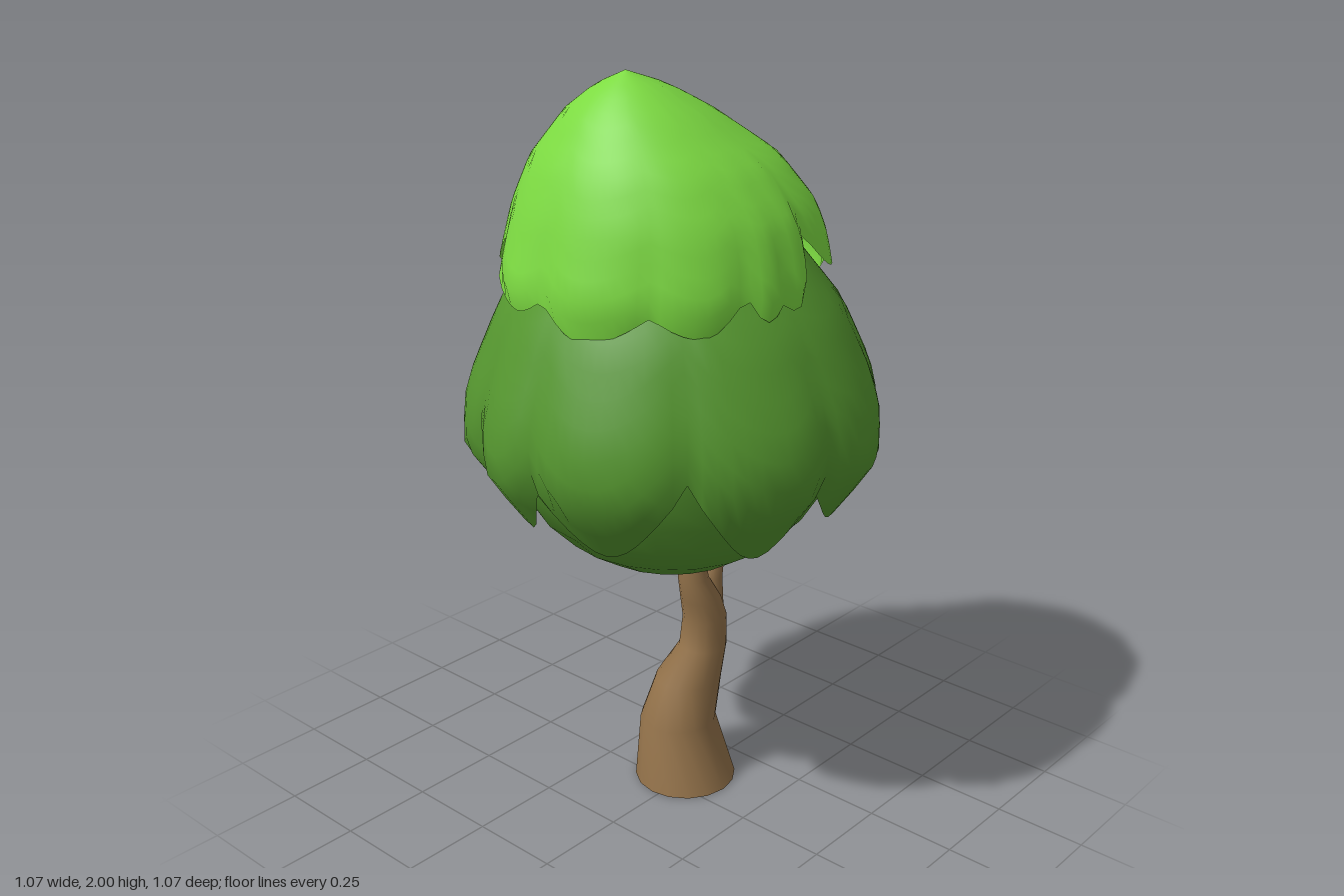
import * as THREE from 'three';

// Smooth closed skin: point(angle, v) gives a position, v runs from top (0) to bottom (1).
// Angle 0 faces +z and grows towards +x.
function skin(cols, rows, point) {
  const pos = [], index = [];
  for (let i = 0; i <= rows; i++)
    for (let j = 0; j < cols; j++) pos.push(...point((j / cols) * Math.PI * 2, i / rows));
  for (let i = 0; i < rows; i++)
    for (let j = 0; j < cols; j++) {
      const k = (j + 1) % cols;
      const a = i * cols + j, b = i * cols + k, c = a + cols, d = b + cols;
      index.push(a, c, d, a, d, b);
    }
  const geo = new THREE.BufferGeometry();
  geo.setAttribute('position', new THREE.Float32BufferAttribute(pos, 3));
  geo.setIndex(index);
  geo.computeVertexNormals();
  return geo;
}

// Rings are [x, y, z, radius], top to bottom; returns the ring at height y.
function ringAt(rings, y) {
  let i = 0;
  while (i < rings.length - 2 && y < rings[i + 1][1]) i++;
  const p = rings[i], q = rings[i + 1];
  const t = THREE.MathUtils.clamp((p[1] - y) / (p[1] - q[1]), 0, 1);
  return p.map((n, k) => n + (q[k] - n) * t);
}

// Tube through rings, for trunk and branch
function limb(rings, cols) {
  return skin(cols, rings.length - 1, (a, v) => {
    const [x, y, z, r] = rings[Math.round(v * (rings.length - 1))];
    return [x + r * Math.sin(a), y, z + r * Math.cos(a)];
  });
}

// Scalloped hem: alternating [degrees, height] notches and tips; rounded tips, sharp notches
function hemAt(hem, angle) {
  const first = hem[0][0];
  const deg = first + THREE.MathUtils.euclideanModulo(THREE.MathUtils.radToDeg(angle) - first, 360);
  const loop = [...hem, [first + 360, hem[0][1]]];
  let i = 0;
  while (i < loop.length - 2 && deg >= loop[i + 1][0]) i++;
  const [p, q] = [loop[i], loop[i + 1]];
  const t = (deg - p[0]) / (q[0] - p[0]);
  const falling = q[1] < p[1];
  const s = Math.sin((falling ? t : 1 - t) * Math.PI / 2);   // 0 at the notch, 1 at the tip
  const notch = falling ? p[1] : q[1], tip = falling ? q[1] : p[1];
  return { y: notch + (tip - notch) * s, s };
}

// Leaf layer: domed rings cut off by the hem, pinched inwards above each notch
function leafLayer(rings, hem, pinch) {
  const top = rings[0][1];
  return skin(96, 16, (a, v) => {
    const h = hemAt(hem, a);
    const [x, y, z, r0] = ringAt(rings, top - (top - h.y) * Math.pow(v, 1.4));
    const r = r0 * (1 - pinch * (1 - h.s) * Math.pow(v, 4));
    return [x + r * Math.sin(a), y, z + r * Math.cos(a)];
  });
}

export function createModel() {
  const tree = new THREE.Group();
  tree.name = 'tree';
  const colour = (name, hex) => {
    const m = new THREE.MeshStandardMaterial({ color: hex, side: THREE.DoubleSide });
    m.name = name;
    return m;
  };
  const bark = colour('bark brown', 0x93724a);
  const leaf = colour('leaf green', 0x55962f);
  const bright = colour('bright leaf green', 0x7ddb42);
  const add = (name, geo, mat) => {
    const mesh = new THREE.Mesh(geo, mat);
    mesh.name = name;
    tree.add(mesh);
    return mesh;
  };

  // Bent trunk, open underneath, with a thin side branch
  add('trunk', limb([
    [0.075, 0.82, -0.02, 0.028], [0.074, 0.72, -0.01, 0.033], [0.077, 0.62, 0, 0.042],
    [0.105, 0.55, 0.003, 0.056], [0.122, 0.49, 0.003, 0.061], [0.122, 0.4, -0.003, 0.066],
    [0.092, 0.3, -0.03, 0.092], [0.066, 0.18, -0.045, 0.106], [0.07, 0, -0.021, 0.141],
  ], 16), bark);
  add('branch', limb([
    [0.175, 0.765, 0.022, 0.004], [0.166, 0.69, 0.012, 0.02],
    [0.145, 0.6, 0.004, 0.032], [0.14, 0.5, 0, 0.043], [0.13, 0.42, 0, 0.04],
  ], 10), bark);

  // Round core of the crown
  const core = add('crownCore', new THREE.SphereGeometry(0.455, 20, 14), leaf);
  core.position.set(-0.01, 1.163, 0);

  // Wide lower leaf layer
  add('lowerLeaves', leafLayer([
    [-0.03, 1.75, 0, 0], [-0.03, 1.68, 0, 0.2], [-0.02, 1.57, 0, 0.315], [-0.01, 1.42, 0, 0.43],
    [0, 1.25, 0, 0.51], [0, 1.17, 0, 0.535], [0, 1.06, 0, 0.54], [0, 0.98, 0, 0.485],
    [0, 0.87, 0, 0.405],
  ], [
    [-45, 1.12], [-19, 0.87], [-4, 1.03], [13, 0.92], [36, 1.14], [80, 0.89], [96, 1.06],
    [117, 0.91], [139, 1.08], [157, 0.88], [172, 1.02], [187, 0.93], [206, 1.04],
    [222, 0.9], [245, 1.1], [258, 0.91], [270, 1.04], [289, 0.89],
  ], 0.07), leaf);

  // Bright leaning cap
  add('upperLeaves', leafLayer([
    [-0.18, 2, 0.01, 0], [-0.155, 1.965, 0.005, 0.085], [-0.125, 1.905, 0, 0.175],
    [-0.07, 1.79, 0, 0.3], [-0.04, 1.68, 0, 0.37], [-0.031, 1.6, -0.005, 0.398],
    [-0.033, 1.51, -0.01, 0.42], [-0.033, 1.42, -0.01, 0.4],
  ], [
    [-52, 1.49], [-35, 1.44], [-20, 1.53], [-11, 1.46], [-4, 1.49], [2, 1.47], [11, 1.63],
    [33, 1.53], [46, 1.57], [60, 1.47], [71, 1.51], [88, 1.47], [110, 1.51], [127, 1.46],
    [147, 1.58], [160, 1.46], [172, 1.54], [190, 1.46], [230, 1.6], [255, 1.46],
    [268, 1.5], [284, 1.42],
  ], 0.04), bright);

  return tree;
}
